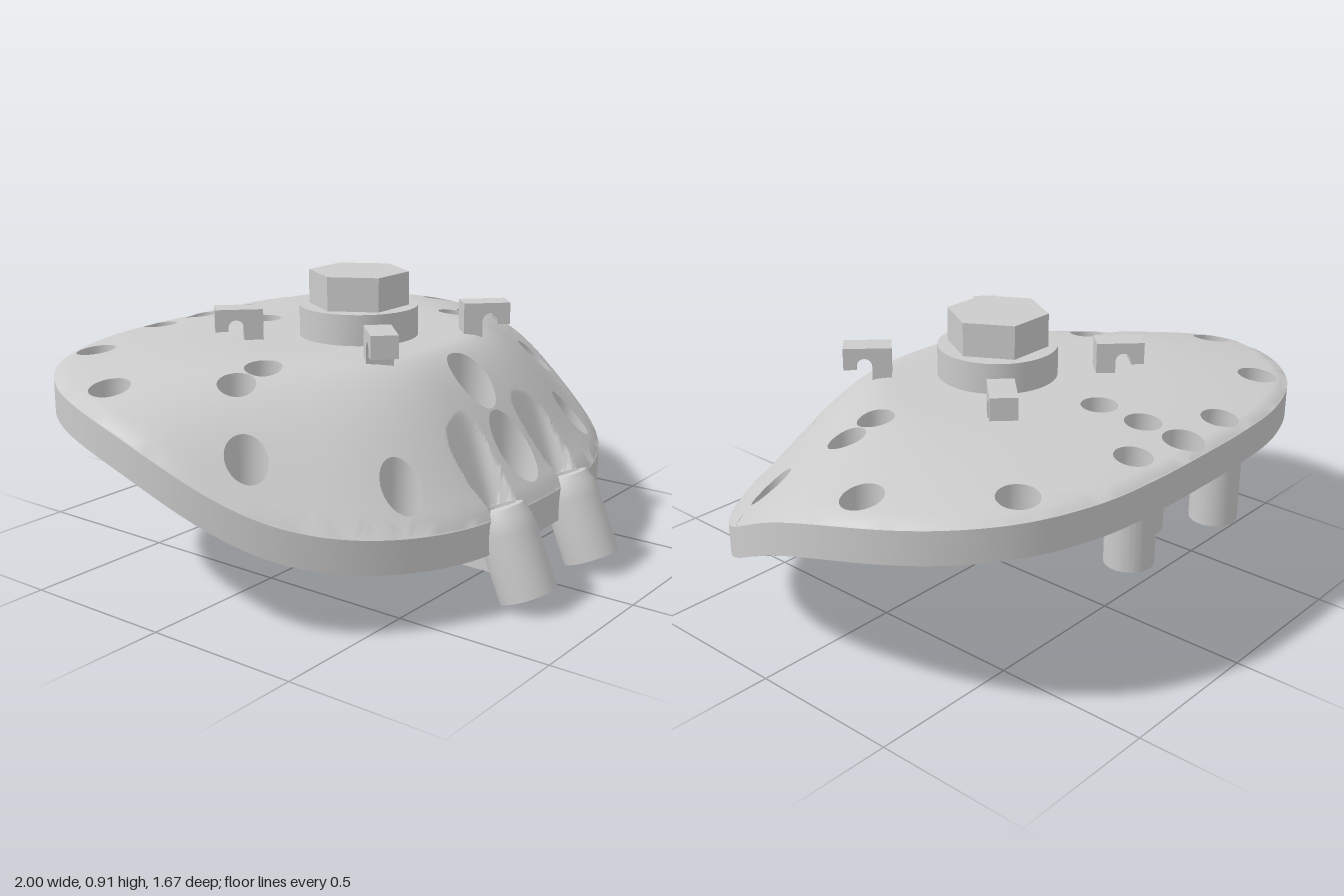
import * as THREE from 'three';
import { toCreasedNormals } from 'three/addons/utils/BufferGeometryUtils.js';

const { smoothstep, clamp } = THREE.MathUtils;
const material = new THREE.MeshStandardMaterial({ color: 0xcccccc });

// Outline radius at every 15 degrees, front round to back, one extra step at each end
const radii = new THREE.SplineCurve(
  [0.698, 0.68, 0.698, 0.748, 0.805, 0.868, 0.932, 0.99, 1.02, 1.022, 0.99, 0.925, 0.86, 0.835, 0.86]
    .map(r => new THREE.Vector2(r, 0)));
const outlineRadius = (x, z) =>
  radii.getPoint((1 + 12 * Math.atan2(Math.abs(x), z) / Math.PI) / 14).x;

// Lower rim height: high at the back, dropping towards the front
const rimLow = z => 0.515 - 0.035 * z - 0.33 / (1 + Math.exp(-(z - 0.13) / 0.16));

// Angled tubes: foot position, axis direction and the scooped pocket above them
const tube = { x: 0.195, y: 0.04, z: 0.753, az: -0.39, ay: 0.92, pocketDepth: 0.065, seat: 0.27 };

// Underside: straight lines from the rim to one central point
function underside(x, z) {
  const r = Math.hypot(x, z) || 1e-6, R = outlineRadius(x, z);
  return 0.375 + (rimLow(z * R / r) - 0.375) * Math.min(1, r / R);
}

// Upper face: flat crown, domed at the back, S-shaped at the front, two scoops
function upper(x, z) {
  const r = Math.hypot(x, z) || 1e-6, R = outlineRadius(x, z), t = Math.min(1, r / R);
  const rim = rimLow(z * R / r) + 0.118;
  const u = clamp((t - 0.4) / 0.6, 0, 1), w = 0.5 * smoothstep(z, -0.3, 0.3);
  let h = 0.7 - (0.7 - rim) * (u * u * (1 - w) + smoothstep(u, 0, 1) * w);
  h -= 0.014 * Math.max(0, (t - 0.95) / 0.05) ** 2;
  const width = 0.115 - 0.35 * clamp(z - 0.5, 0, 0.16);
  const dx = (Math.abs(x) - tube.x) / width, dz = z - tube.z;
  const wall = tube.y + (-tube.pocketDepth * (1 - dx ** 4) - tube.ay * dz) / -tube.az;
  const seat = tube.y + (tube.seat - tube.az * dz) / tube.ay;
  return Math.min(h, Math.max(wall, seat));
}

const circle = (cx, cz, r, n = 28) => Array.from({ length: n }, (_, i) => {
  const a = i / n * Math.PI * 2;
  return new THREE.Vector2(cx + r * Math.cos(a), cz + r * Math.sin(a));
});

// Triangulates the pierced outline, refines it and lifts it onto a height rule
function skin(contour, holes, height, limit, up) {
  const points = [contour, ...holes].flat();
  const stack = THREE.ShapeUtils.triangulateShape(contour, holes).map(f => f.map(i => points[i]));
  const pos = [], nor = [], e = 0.003, sign = up ? 1 : -1;
  while (stack.length) {
    const tri = stack.pop();
    let longest = 0, k = -1;
    for (let i = 0; i < 3; i++) {
      const a = tri[i], b = tri[(i + 1) % 3], d = a.distanceTo(b);
      if (d > longest && d > limit((a.x + b.x) / 2, (a.y + b.y) / 2)) { longest = d; k = i; }
    }
    if (k >= 0) {
      const a = tri[k], b = tri[(k + 1) % 3], c = tri[(k + 2) % 3];
      const m = a.clone().add(b).multiplyScalar(0.5);
      stack.push([a, m, c], [m, b, c]);
      continue;
    }
    const [a, b, c] = tri;
    const facing = (b.y - a.y) * (c.x - a.x) - (b.x - a.x) * (c.y - a.y);
    for (const p of facing * sign > 0 ? [a, b, c] : [a, c, b]) {
      pos.push(p.x, height(p.x, p.y), p.y);
      const n = new THREE.Vector3(
        (height(p.x - e, p.y) - height(p.x + e, p.y)) / (2 * e), 1,
        (height(p.x, p.y - e) - height(p.x, p.y + e)) / (2 * e)).normalize();
      nor.push(n.x * sign, n.y * sign, n.z * sign);
    }
  }
  const g = new THREE.BufferGeometry();
  g.setAttribute('position', new THREE.Float32BufferAttribute(pos, 3));
  g.setAttribute('normal', new THREE.Float32BufferAttribute(nor, 3));
  return g;
}

// Joins closed rings; going down, the walls face inward
function loft(rings) {
  const n = rings[0].length, pos = rings.flat().flatMap(p => [p.x, p.y, p.z]), idx = [];
  for (let i = 0; i < rings.length - 1; i++) for (let j = 0; j < n; j++) {
    const a = i * n + j, b = i * n + (j + 1) % n, c = a + n, d = b + n;
    idx.push(a, c, b, b, c, d);
  }
  const g = new THREE.BufferGeometry();
  g.setAttribute('position', new THREE.Float32BufferAttribute(pos, 3));
  g.setIndex(idx);
  return g;
}
const ring = (pts, y) => pts.map(p => new THREE.Vector3(p.x, typeof y === 'function' ? y(p.x, p.y) : y, p.y));

// Post with rounded ends round one or two holes, its top trimmed to the underside
function post(spots, foot) {
  const p = spots[0], q = spots[spots.length - 1], r = 0.075;
  const a = Math.atan2(q[1] - p[1], q[0] - p[0]), h = Math.PI / 2;
  const shape = new THREE.Shape();
  shape.absarc(q[0], q[1], r, a - h, a + h);
  shape.absarc(p[0], p[1], r, a + h, a + 3 * h);
  for (const [x, z] of spots) shape.holes.push(new THREE.Path(circle(x, z, 0.04)));
  const g = new THREE.ExtrudeGeometry(shape, { depth: 1, bevelEnabled: false, curveSegments: 16 });
  g.rotateX(Math.PI / 2);
  const v = g.attributes.position;
  for (let i = 0; i < v.count; i++) {
    v.setY(i, v.getY(i) < -0.5 ? foot : underside(v.getX(i), v.getZ(i)) + 0.01);
  }
  return g;
}

export function createModel() {
  const model = new THREE.Group();
  const add = (name, geometry, crease = 0.6) => {
    const mesh = new THREE.Mesh(crease ? toCreasedNormals(geometry, crease) : geometry, material);
    mesh.name = name;
    model.add(mesh);
    return mesh;
  };

  // Screw holes: plain ones near the edge, others running down through posts
  const bores = [{ x: 0, z: -0.76, r: 0.063 }];
  for (const s of [-1, 1]) {
    for (const [x, z] of [[0.605, -0.64], [0.858, -0.3], [0.79, 0.175], [0.49, 0.495]]) {
      bores.push({ x: s * x, z, r: 0.063 });
    }
  }
  const posts = [
    { name: 'frontPost', foot: 0.02, r: 0.078, spots: [[0, 0.41], [0, 0.57]] },
    { name: 'leftPost', foot: 0.29, r: 0.058, spots: [[0.515, 0], [0.635, 0]] },
    { name: 'rightPost', foot: 0.29, r: 0.058, spots: [[-0.635, 0], [-0.515, 0]] },
    { name: 'backPost', foot: 0.34, r: 0.058, spots: [[0, -0.615], [0, -0.45]] },
    { name: 'backLeftPost', foot: 0.34, r: 0.058, spots: [[0.2, -0.725]] },
    { name: 'backRightPost', foot: 0.34, r: 0.058, spots: [[-0.21, -0.75]] },
  ];
  for (const p of posts) {
    add(p.name, post(p.spots, p.foot));
    for (const [x, z] of p.spots) bores.push({ x, z, r: p.r, foot: p.foot });
  }

  // Plate: upper face, underside and rim
  const outline = Array.from({ length: 240 }, (_, i) => {
    const a = i / 240 * Math.PI * 2, R = outlineRadius(Math.cos(a), Math.sin(a));
    return new THREE.Vector2(R * Math.cos(a), R * Math.sin(a));
  });
  const fine = (x, z) => z > 0.4 && Math.abs(Math.abs(x) - tube.x) < 0.14 ? 0.014 : 0.06;
  add('upperFace', skin(outline, bores.map(b => circle(b.x, b.z, b.r)), upper, fine, true), 0);
  add('underside', skin(outline, bores.map(b => circle(b.x, b.z, 0.024)), underside, () => 0.09, false), 0);
  add('rim', loft([ring(outline, underside), ring(outline, upper)]));

  // Counterbored hole walls, tapering where they are widest
  for (const b of bores) {
    const floor = underside(b.x, b.z) + 0.045;
    const c = r => circle(b.x, b.z, r);
    const rings = [ring(c(b.r), upper), ring(c(Math.min(b.r, 0.063)), floor)];
    if (b.foot === undefined) {
      rings.push(ring(c(0.024), floor), ring(c(0.024), underside));
    } else {
      rings.push(ring(c(0.037), floor), ring(c(0.037), floor - 0.02), ring(c(0.022), floor - 0.02),
        ring(c(0.022), b.foot + 0.03), ring(c(0.04), b.foot + 0.03));
    }
    add('screwHole', loft(rings));
  }

  // Angled hollow tubes at the front
  const profile = [[0.04, 0], [0.09, 0], [0.09, 0.2], [0.086, 0.24], [0.072, 0.275], [0.05, 0.28],
    [0.05, 0.22], [0.024, 0.22], [0.024, 0.03], [0.04, 0.03], [0.04, 0]].map(p => new THREE.Vector2(...p));
  for (const s of [-1, 1]) {
    const m = add(s > 0 ? 'leftAngledTube' : 'rightAngledTube', new THREE.LatheGeometry(profile, 36));
    m.position.set(s * tube.x, tube.y, tube.z);
    m.rotation.x = Math.atan2(tube.az, tube.ay);
  }

  // Round collar and hexagonal head
  add('collar', new THREE.CylinderGeometry(0.195, 0.195, 0.12, 48)).position.set(0, 0.74, -0.035);
  const head = add('hexHead', new THREE.CylinderGeometry(0.165, 0.165, 0.11, 6));
  head.position.set(0, 0.855, -0.035);
  head.rotation.y = Math.PI / 6;

  // Four arched clips pointing at the centre; +x of the profile faces outward
  const clip = new THREE.Shape();
  clip.moveTo(-0.0775, 0.67);
  clip.lineTo(-0.015, 0.67);
  clip.lineTo(-0.015, 0.74);
  clip.absarc(0.01, 0.74, 0.025, Math.PI, 0, true);
  clip.lineTo(0.035, 0.728);
  clip.lineTo(0.0775, 0.728);
  clip.lineTo(0.0775, 0.8);
  clip.lineTo(-0.0775, 0.8);
  const clipGeometry = new THREE.ExtrudeGeometry(clip, { depth: 0.085, bevelEnabled: false });
  clipGeometry.translate(0, 0, -0.0425);
  for (const sx of [-1, 1]) for (const [z, sz] of [[-0.306, -1], [0.27, 1]]) {
    const m = add('clip', clipGeometry);
    m.position.set(sx * 0.288, 0, z);
    m.rotation.y = Math.atan2(-sz, sx);
  }
  return model;
}
